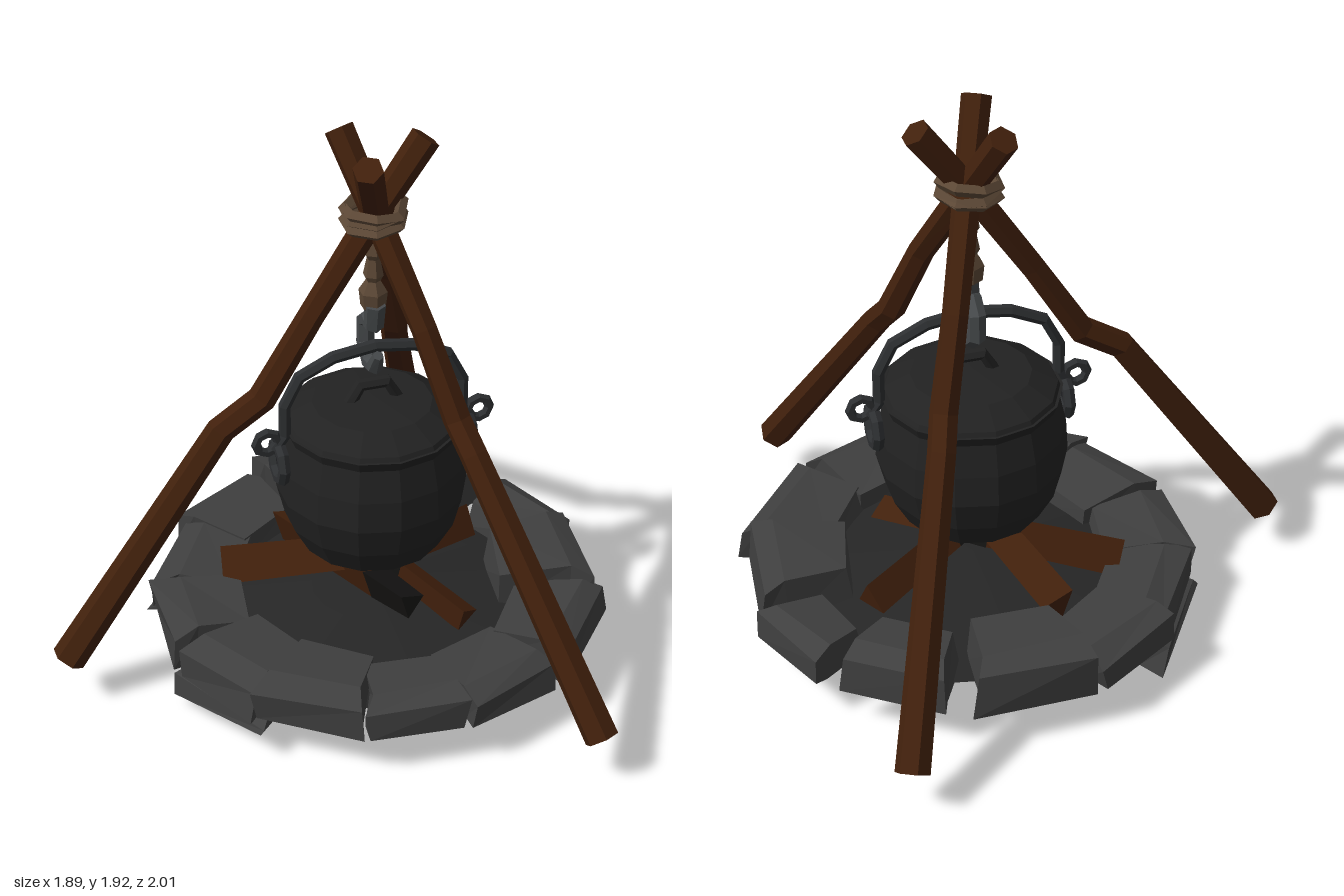
import * as THREE from 'three';

const V = (p) => new THREE.Vector3(...p);
const mat = (color, side = THREE.FrontSide) =>
  new THREE.MeshStandardMaterial({ color, flatShading: true, roughness: 0.9, side });
const CX = 0.16; // axis of the pot and fire

// Capped tube that follows straight segments through the points
function rod(points, radius, sides = 6) {
  const pts = points.map(V), n = pts.length - 1;
  const geo = new THREE.CylinderGeometry(1, 1, 1, sides, n);
  const frames = [], q = new THREE.Quaternion(), last = new THREE.Vector3(0, 1, 0);
  pts.forEach((p, i) => {
    const t = pts[Math.min(i + 1, n)].clone().sub(pts[Math.max(i - 1, 0)]).normalize();
    q.premultiply(new THREE.Quaternion().setFromUnitVectors(last, t));
    last.copy(t);
    frames.push(q.clone());
  });
  const pos = geo.attributes.position, v = new THREE.Vector3();
  for (let k = 0; k < pos.count; k++) {
    v.fromBufferAttribute(pos, k);
    const i = Math.round((v.y + 0.5) * n);
    const r = Array.isArray(radius) ? radius[i] : radius;
    v.set(v.x * r, 0, v.z * r).applyQuaternion(frames[i]).add(pts[i]);
    pos.setXYZ(k, v.x, v.y, v.z);
  }
  geo.computeVertexNormals();
  return geo;
}

// Repeatable jitter, equal for corners that share a place
const jitter = (a, b, c, d) => {
  const s = Math.sin(a * 12.99 + b * 78.23 + c * 37.72 + d * 9.15) * 43758.55;
  return s - Math.floor(s) - 0.5;
};

// Wedge-shaped block, wider on its outer side; tilt lowers one end of its underside
function stoneGeometry(seed, angle, rIn, rOut, y0, y1, halfWidth, tilt = 0) {
  const geo = new THREE.BoxGeometry(2, 1, 1, 1, 1, 2);
  const pos = geo.attributes.position, a = THREE.MathUtils.degToRad(angle);
  for (let k = 0; k < pos.count; k++) {
    const u = -pos.getX(k), v = pos.getY(k) + 0.5, w = pos.getZ(k) + 0.5;
    const j = (d) => jitter(u, v, w, d + seed * 3.7);
    const r = rIn + (rOut - rIn) * (w === 0.5 ? 0.72 : w) + j(1) * 0.03;
    const t = u * halfWidth * (0.7 + 0.3 * w) + j(2) * 0.03;
    const drop = v ? (w === 1 ? 0.03 : w === 0 ? 0.02 : 0) : tilt * u;
    const y = y0 + (y1 - y0) * v - drop + j(3) * 0.015;
    pos.setXYZ(k, CX + r * Math.cos(a) - t * Math.sin(a), y, r * Math.sin(a) + t * Math.cos(a));
  }
  geo.computeVertexNormals();
  return geo;
}

export function createModel() {
  const model = new THREE.Group();
  const wood = mat(0x41200c), stone = mat(0x3f3f3f), castIron = mat(0x222222);
  const iron = mat(0x2d2f31), hookIron = mat(0x45484a), rope = mat(0x5b4735), char = mat(0x141312);
  const ash = mat(0x262626, THREE.DoubleSide);
  const add = (name, geo, material, parent = model) => {
    const mesh = new THREE.Mesh(geo, material);
    mesh.name = name;
    parent.add(mesh);
    return mesh;
  };
  const group = (name) => {
    const g = new THREE.Group();
    g.name = name;
    model.add(g);
    return g;
  };

  // Tripod of crooked poles
  const tripod = group('tripod');
  const poleRadius = [0.058, 0.047, 0.047, 0.043, 0.046, 0.05];
  add('leftPole', rod([[-0.905, 0.17, 0.035], [-0.36, 0.96, 0.02], [-0.22, 1.05, 0.015],
    [-0.05, 1.33, 0.01], [0.15, 1.64, 0], [0.335, 1.895, -0.018]], poleRadius), wood, tripod);
  for (const s of [1, -1]) {
    add(s > 0 ? 'frontPole' : 'backPole', rod([[0.63, 0.17, 0.955 * s], [0.37, 0.96, 0.40 * s],
      [0.34, 1.05, 0.32 * s], [0.265, 1.33, 0.2 * s], [0.17, 1.64, 0.01 * s],
      [0.09, 1.9, -0.15 * s]], poleRadius), wood, tripod);
  }

  // Rope lashing around the crossing
  const lashing = group('lashing');
  [[1.64, 0.05, 0.08], [1.665, -0.14, -0.12], [1.68, 0.16, 0.16]].forEach(([y, tx, tz]) => {
    const ring = add('ropeTurn', new THREE.TorusGeometry(0.094, 0.021, 4, 7), rope, lashing);
    ring.position.set(CX, y, 0);
    ring.rotation.set(Math.PI / 2 + tx, tz, 0);
  });

  // Knotted hanging rope
  const knots = [[0.02, 1.31], [0.042, 1.325], [0.048, 1.38], [0.024, 1.42], [0.034, 1.44],
    [0.022, 1.5], [0.034, 1.52], [0.024, 1.58], [0.03, 1.66]];
  add('hangingRope', new THREE.LatheGeometry([[0, 1.31], ...knots, [0, 1.66]]
    .map((p) => new THREE.Vector2(...p)), 6), rope).position.x = CX;

  // Hook
  add('hook', rod([[CX, 1.34, 0.02], [CX, 1.26, 0.01], [CX, 1.26, -0.03], [CX, 1.23, -0.075],
    [CX, 1.15, -0.075], [CX, 1.105, -0.02], [CX, 1.11, 0.025], [CX, 1.17, 0.06]],
  [0.036, 0.034, 0.032, 0.031, 0.031, 0.031, 0.028, 0.018], 6), hookIron);

  // Cauldron body and lid
  const cauldron = group('cauldron');
  cauldron.position.x = CX;
  const lathe = (pts) => new THREE.LatheGeometry(pts.map((p) => new THREE.Vector2(...p)), 14);
  add('pot', lathe([[0, 0.445], [0.238, 0.445], [0.29, 0.54], [0.318, 0.65], [0.312, 0.76],
    [0.288, 0.87], [0.302, 0.905], [0.27, 0.905]]), castIron, cauldron);
  add('lid', lathe([[0.295, 0.9], [0.285, 0.92], [0.2, 0.968], [0, 0.985]]), castIron, cauldron);
  add('lidHandle', rod([[-0.08, 0.96, 0], [-0.04, 1.03, 0], [0.05, 1.03, 0],
    [0.09, 0.96, 0]], 0.022), castIron, cauldron);

  // Side rings and bail with curled ends
  for (const s of [1, -1]) {
    const ear = add('earRing', new THREE.TorusGeometry(0.063, 0.021, 6, 8), iron, cauldron);
    ear.position.set(0.325 * s, 0.8, 0.02);
    ear.rotation.y = Math.PI / 2;
    const curl = add('bailCurl', new THREE.TorusGeometry(0.038, 0.017, 6, 8), iron, cauldron);
    curl.position.set(0.365 * s, 0.88, 0.02);
  }
  const half = [[0.34, 0.85], [0.305, 0.9], [0.305, 1.01], [0.255, 1.11], [0.14, 1.165]];
  const mirrored = half.map(([x, y]) => [-x, y]).reverse();
  add('bail', rod([...half, [0, 1.185], ...mirrored].map(([x, y]) => [x, y, 0.02]), 0.021),
    iron, cauldron);

  // Ring of stones: angle, inner radius, outer radius, bottom, top, half width, tilt
  const stones = group('stoneRing');
  [[-90, 0.45, 0.74, 0.15, 0.34, 0.2], [-121, 0.47, 0.74, 0.15, 0.28, 0.18],
    [-149, 0.46, 0.71, 0.13, 0.27, 0.19], [-177, 0.44, 0.72, 0.13, 0.27, 0.18],
    [152, 0.42, 0.72, 0.13, 0.27, 0.18], [124, 0.42, 0.73, 0.14, 0.28, 0.18],
    [96, 0.49, 0.73, 0.15, 0.28, 0.17], [69, 0.48, 0.75, 0.15, 0.28, 0.18],
    [38, 0.48, 0.76, 0.15, 0.28, 0.22], [7, 0.43, 0.73, 0.15, 0.33, 0.19],
    [-22, 0.56, 0.77, 0.15, 0.28, 0.16], [-54, 0.5, 0.73, 0.15, 0.31, 0.18],
    // sunken stones under the left side
    [-147, 0.38, 0.73, 0.06, 0.16, 0.2, 0.05], [151, 0.36, 0.73, 0.075, 0.16, 0.2, 0.025],
  ].forEach((s, i) => add('stone', stoneGeometry(i + 1, ...s), stone, stones));

  // Low mound of ash reaching under the stones
  add('ashBed', new THREE.LatheGeometry([[0.6, 0.155], [0.45, 0.185], [0.2, 0.225], [0, 0.235]]
    .map((p) => new THREE.Vector2(...p)), 16), ash).position.x = CX;

  // Split three-sided logs leaning together, with charred tips
  const logs = group('firewood');
  [[[-0.3, 0.26, -0.2], [0.27, 0.375, 0.03], 0.075], [[-0.02, 0.26, -0.4], [0.19, 0.37, 0.34], 0.07],
    [[0.57, 0.27, -0.2], [0.12, 0.36, 0.06], 0.065], [[0.4, 0.24, 0.3], [0.2, 0.34, -0.02], 0.055],
  ].forEach(([a, b, r]) => {
    const mid = V(a).lerp(V(b), 0.72).toArray();
    add('log', rod([a, mid], [r, r * 0.9], 3), wood, logs);
    add('charredTip', rod([mid, b], [r * 0.92, r * 0.75], 3), char, logs);
  });
  return model;
}
